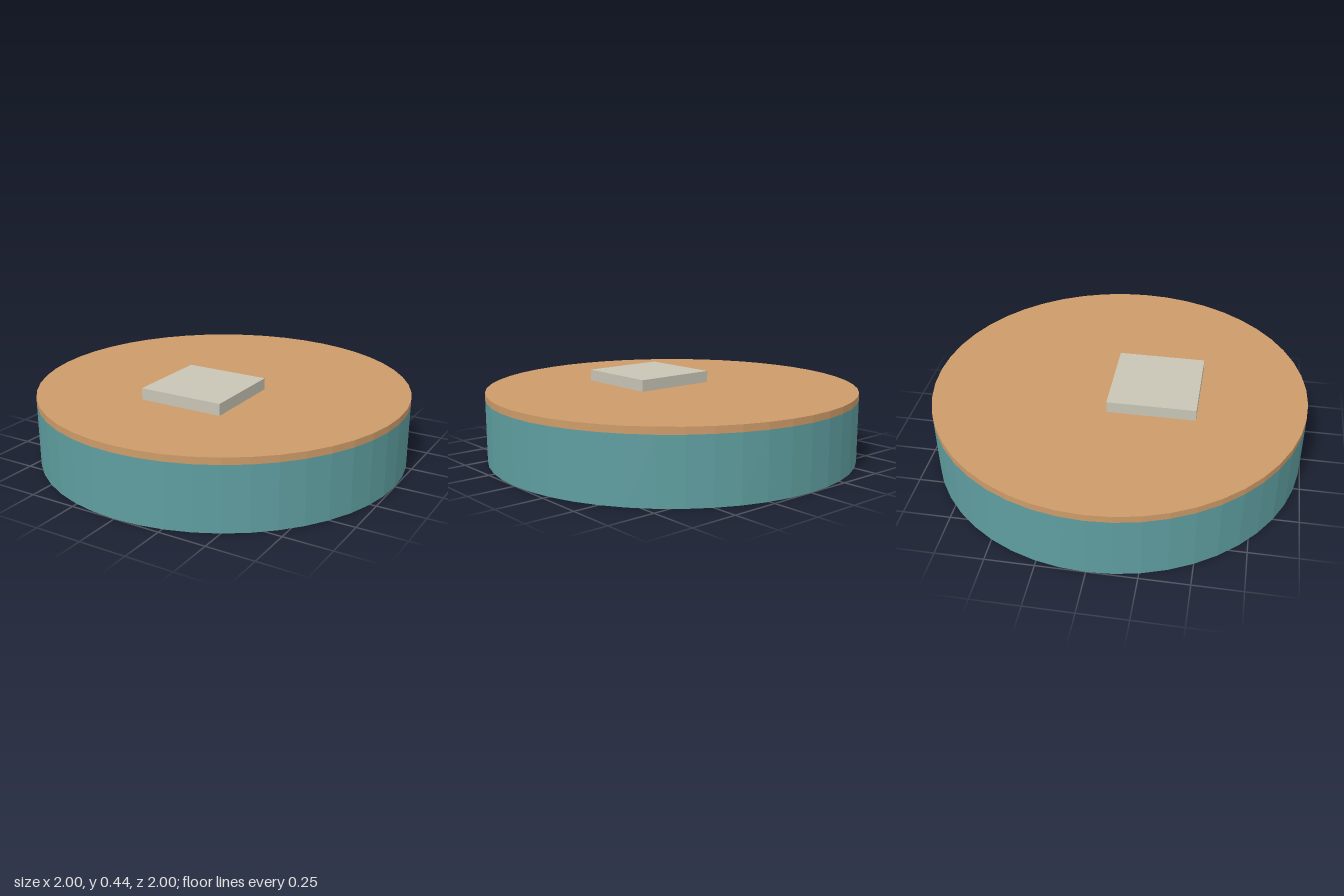
import * as THREE from 'three';

export function createModel() {
  const group = new THREE.Group();

  const add = (name, geometry, color, y, z = 0) => {
    const material = new THREE.MeshStandardMaterial({ color, flatShading: true });
    const mesh = new THREE.Mesh(geometry, material);
    mesh.name = name;
    mesh.position.set(0, y, z);
    group.add(mesh);
  };

  // Faceted disc standing between two heights
  const disc = (name, bottom, top, color) =>
    add(name, new THREE.CylinderGeometry(1, 1, top - bottom, 48), color, (bottom + top) / 2);

  disc('base', 0, 0.337, 0x5f9ea0);
  disc('topLayer', 0.337, 0.373, 0xcd9b69);

  // Square slab resting on the top, set towards the front
  add('slab', new THREE.BoxGeometry(0.465, 0.062, 0.465), 0xc8c5b5, 0.404, 0.2);

  return group;
}
